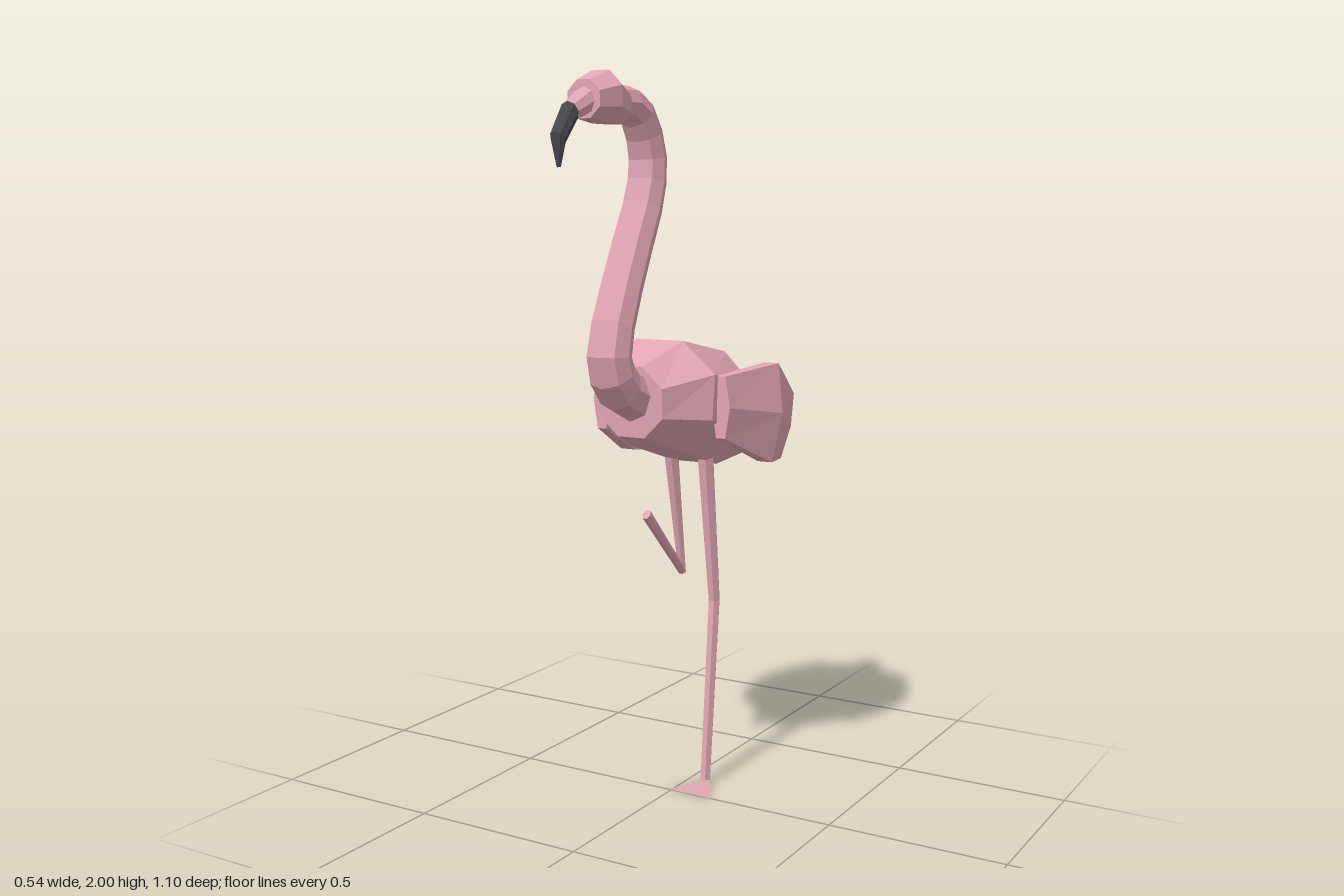
import * as THREE from 'three';

// Closed loft through rings [x, y, z, halfWidth, halfHeight, tilt], advancing along +z when tilt is 0
function loft(rings, sides, phase) {
  const angles = Array.from({ length: sides }, (_, j) => phase + (j * 2 * Math.PI) / sides);
  const mx = Math.max(...angles.map((a) => Math.abs(Math.cos(a))));
  const my = Math.max(...angles.map((a) => Math.abs(Math.sin(a))));
  const pos = [], idx = [], last = rings.length - 1;
  for (const [x, y, z, w, h, tilt] of rings) {
    for (const a of angles) {
      const up = (h * Math.sin(a)) / my;
      pos.push(x + (w * Math.cos(a)) / mx, y + up * Math.cos(tilt), z + up * Math.sin(tilt));
    }
  }
  for (let i = 0; i < last; i++) {
    for (let j = 0; j < sides; j++) {
      const a = i * sides + j, b = i * sides + ((j + 1) % sides);
      idx.push(a, b, a + sides, b, b + sides, a + sides);
    }
  }
  // end caps
  for (let j = 1; j < sides - 1; j++) {
    const e = last * sides;
    idx.push(0, j + 1, j, e, e + j, e + j + 1);
  }
  const geo = new THREE.BufferGeometry();
  geo.setAttribute('position', new THREE.Float32BufferAttribute(pos, 3));
  geo.setIndex(idx);
  const flat = geo.toNonIndexed();
  flat.computeVertexNormals();
  return flat;
}

// Loft whose rings stand square to the path of points [x, y, z, halfWidth, halfHeight]
function pathLoft(points, sides, phase) {
  return loft(points.map((p, i) => {
    const a = points[Math.max(i - 1, 0)], b = points[Math.min(i + 1, points.length - 1)];
    return [...p, Math.atan2(a[1] - b[1], b[2] - a[2])];
  }), sides, phase);
}

export function createModel() {
  const group = new THREE.Group();
  const pink = new THREE.MeshStandardMaterial({ color: 0xe2a6b2 });
  pink.name = 'pink feathers';
  pink.side = THREE.DoubleSide;
  const dark = new THREE.MeshStandardMaterial({ color: 0x47474d });
  dark.name = 'dark beak';
  const add = (name, geo, mat = pink) => {
    const mesh = new THREE.Mesh(geo, mat);
    mesh.name = name;
    group.add(mesh);
    return mesh;
  };
  const OCT = Math.PI / 8;

  // Body, tail to chest
  add('body', loft([
    [0, 0.975, -0.525, 0.03, 0.027, -0.35],
    [0, 1.035, -0.37, 0.105, 0.1, -0.4],
    [0, 1.1, -0.155, 0.172, 0.16, -0.15],
    [0, 1.16, 0.08, 0.18, 0.147, -0.12],
    [0, 1.152, 0.215, 0.1, 0.096, 0.05],
  ], 8, OCT));

  // Folded wings, mirrored by centre position
  for (const [name, s] of [['leftWing', 1], ['rightWing', -1]]) {
    add(name, loft([
      [s * 0.045, 0.973, -0.545, 0.015, 0.029, -0.35],
      [s * 0.165, 1.03, -0.37, 0.023, 0.1, -0.42],
      [s * 0.226, 1.098, -0.148, 0.045, 0.138, -0.13],
      [s * 0.19, 1.132, 0.06, 0.028, 0.084, 0],
    ], 6, 0));
  }

  // S-shaped neck
  const neck = [
    [1.16, 0.19, 0.066], [1.19, 0.262, 0.064], [1.23, 0.298, 0.062], [1.28, 0.313, 0.06],
    [1.36, 0.293, 0.058], [1.46, 0.249, 0.056], [1.56, 0.2, 0.055], [1.66, 0.148, 0.054],
    [1.73, 0.124, 0.053], [1.79, 0.12, 0.052], [1.85, 0.138, 0.05], [1.9, 0.172, 0.048],
    [1.925, 0.22, 0.046], [1.925, 0.29, 0.044],
  ];
  add('neck', pathLoft(neck.map(([y, z, r]) => [0, y, z, r, r]), 8, 0));

  // Head and pink base of the bill
  add('head', loft([
    [0, 1.918, 0.272, 0.045, 0.048, 0],
    [0, 1.935, 0.345, 0.065, 0.065, 0],
    [0, 1.925, 0.422, 0.048, 0.047, 0],
  ], 8, OCT));
  add('billBase', loft([
    [0, 1.922, 0.415, 0.034, 0.035, 0.15],
    [0, 1.892, 0.482, 0.026, 0.025, 0.4],
  ], 8, 0));

  // Hooked dark beak
  add('beak', loft([
    [0, 1.892, 0.482, 0.026, 0.026, 0.4],
    [0, 1.825, 0.534, 0.021, 0.022, 0.75],
    [0, 1.757, 0.531, 0.005, 0.005, 1.6],
  ], 8, 0), dark);

  // Standing leg
  add('standingLeg', pathLoft([
    [0.06, 1.0, -0.085, 0.024, 0.024],
    [0.06, 0.54, -0.143, 0.017, 0.017],
    [0.06, 0.015, -0.094, 0.015, 0.015],
  ], 6, 0));

  // Flat webbed foot
  const web = new THREE.BufferGeometry();
  web.setAttribute('position', new THREE.Float32BufferAttribute(
    [0.06, 0, -0.125, -0.01, 0, 0, 0.13, 0, 0], 3));
  web.computeVertexNormals();
  add('standingFoot', web);

  // Raised, folded leg
  add('raisedThigh', pathLoft([
    [-0.062, 1.0, -0.1, 0.022, 0.022],
    [-0.075, 0.597, -0.19, 0.013, 0.01],
  ], 6, 0));
  add('raisedShin', pathLoft([
    [-0.075, 0.6, -0.19, 0.012, 0.01],
    [-0.047, 0.815, 0.055, 0.013, 0.014],
  ], 6, 0));

  return group;
}
